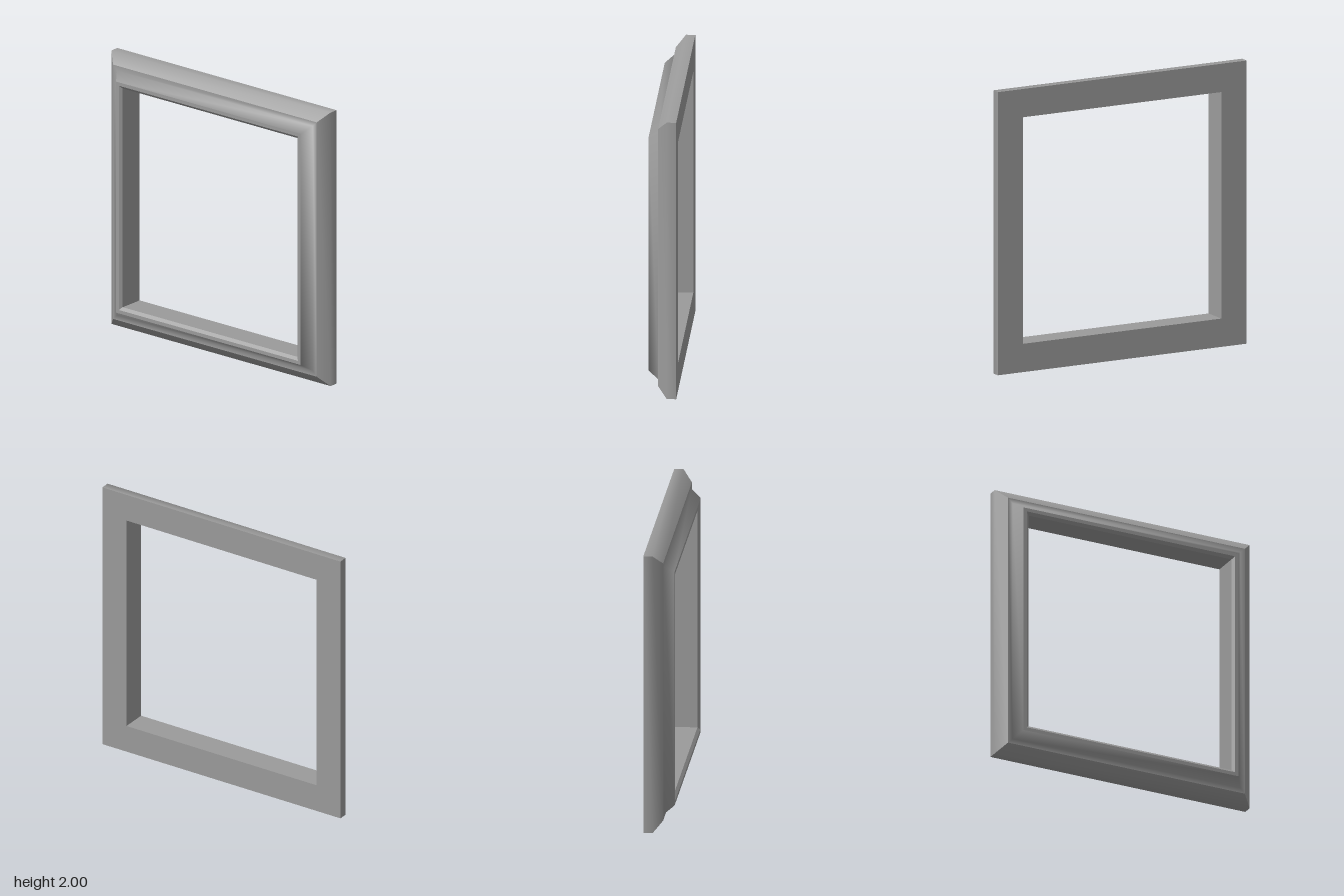
import * as THREE from 'three';

const HALF_W = 0.985, HALF_H = 1;
const CORNERS = [[-1, -1], [1, -1], [1, 1], [-1, 1]];

// Sweeps a moulding profile of [inset from outer edge, z] round the frame.
// mitred: each side keeps its own normals, so the corner joints stay crisp.
function moulding(profile, mitred) {
  const pos = [], index = [];
  const n = profile.length;
  const addSection = ([sx, sy]) => {
    for (const [d, z] of profile) pos.push(sx * (HALF_W - d), HALF_H + sy * (HALF_H - d), z);
  };
  if (!mitred) CORNERS.forEach(addSection);
  for (let s = 0; s < 4; s++) {
    let a = s * n, b = ((s + 1) % 4) * n;
    if (mitred) {
      a = s * 2 * n;
      b = a + n;
      addSection(CORNERS[s]);
      addSection(CORNERS[(s + 1) % 4]);
    }
    for (let i = 0; i < n - 1; i++) {
      index.push(a + i, b + i, b + i + 1, a + i, b + i + 1, a + i + 1);
    }
  }
  const geo = new THREE.BufferGeometry();
  geo.setAttribute('position', new THREE.Float32BufferAttribute(pos, 3));
  geo.setIndex(index);
  geo.computeVertexNormals();
  return geo;
}

export function createModel() {
  const group = new THREE.Group();
  group.name = 'frame';
  const material = new THREE.MeshStandardMaterial({ color: 0x9b9b9b });

  const add = (name, profile, mitred = true) => {
    const mesh = new THREE.Mesh(moulding(profile, mitred), material);
    mesh.name = name;
    group.add(mesh);
  };

  // Outer edge rolling softly into the front chamfer
  add('outerEdge', [[0, -0.1], [0, -0.035], [0.07, 0.03]]);
  // Step and raised slope, shaded smoothly round the corners
  add('raisedSlope', [[0.07, 0.03], [0.105, 0.03], [0.155, 0.1]], false);
  // Flat front rim
  add('frontRim', [[0.155, 0.1], [0.18, 0.1]]);
  // Small bevel into the opening
  add('innerBevel', [[0.18, 0.1], [0.2, 0.082]]);
  // Walls of the opening
  add('openingWall', [[0.2, 0.082], [0.2, -0.1]]);
  // Flat back
  add('backFace', [[0.2, -0.1], [0, -0.1]]);

  return group;
}
